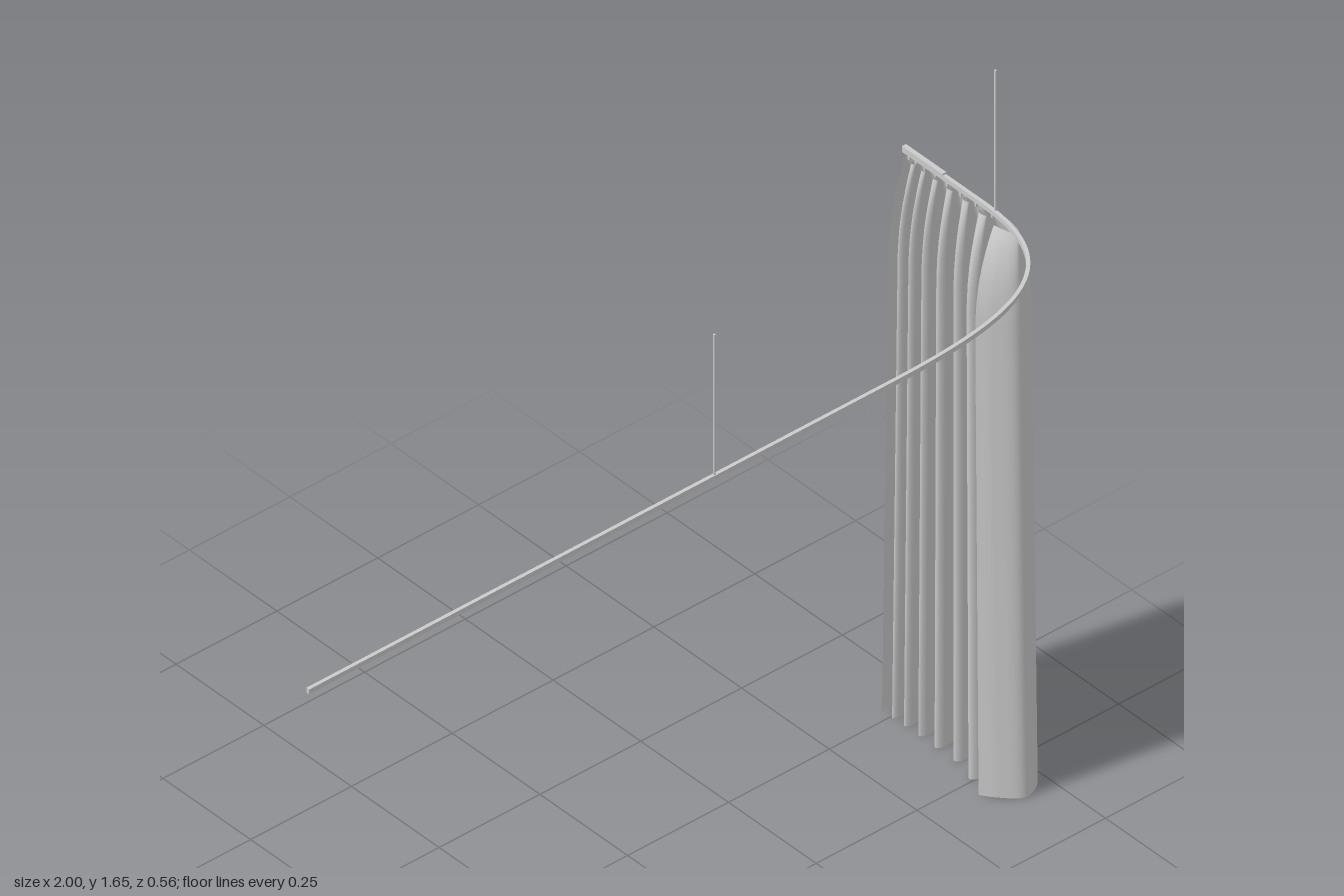
import * as THREE from 'three';

const material = new THREE.MeshStandardMaterial({ color: 0xcccccc });
const cloth = new THREE.MeshStandardMaterial({ color: 0xcccccc, side: THREE.DoubleSide });

const RAIL_X = 0.94, RAIL_Z = 0.275, RAIL_TOP = 1.319;
const v2 = (x, z) => new THREE.Vector2(x, z);

function addMesh(group, name, geometry, x = 0, y = 0, z = 0, mat = material) {
  const mesh = new THREE.Mesh(geometry, mat);
  mesh.name = name;
  mesh.position.set(x, y, z);
  group.add(mesh);
  return mesh;
}

// Plan of the rail: straight run, rounded corner, short return
function railPoints() {
  const corner = new THREE.CubicBezierCurve(v2(0.45, RAIL_Z), v2(0.78, RAIL_Z), v2(RAIL_X, 0.22), v2(RAIL_X, -0.03));
  return [v2(-1, RAIL_Z), ...corner.getPoints(40), v2(RAIL_X, -0.255)];
}

// Flat bar following the plan, extruded downwards
function railGeometry(halfWidth, height) {
  const pts = railPoints();
  const side = (s) => pts.map((p, i) => {
    const a = pts[Math.max(i - 1, 0)], b = pts[Math.min(i + 1, pts.length - 1)];
    const t = b.clone().sub(a).normalize();
    return v2(p.x - t.y * s, p.y + t.x * s);
  });
  const shape = new THREE.Shape([...side(halfWidth), ...side(-halfWidth).reverse()]);
  return new THREE.ExtrudeGeometry(shape, { depth: height, bevelEnabled: false }).rotateX(Math.PI / 2);
}

// Plan of the cloth at the hem: one big open fold, then ever tighter pleats
function foldCurve() {
  const pts = [[0.868, 0.04], [0.89, 0.07], [0.93, 0.103], [0.975, 0.085], [0.998, 0.04], [0.98, 0.008], [0.945, 0.003]];
  const outer = [-0.04, -0.097, -0.148, -0.192, -0.228, -0.262];
  let previous = 0.0;
  outer.forEach((z, i) => {
    const w = (i === 0 ? 0.022 : (outer[i - 1] - z) * 0.34);
    const inner = (previous + z + w) / 2;
    const left = i === 0 ? 0.887 : 0.902;
    pts.push([left + 0.012, inner + w * 0.5], [left, inner], [left + 0.012, inner - w * 0.5]);
    pts.push([0.972, z + w], [0.988, z], [0.972, z - w]);
    previous = z - w;
  });
  pts.push([0.93, -0.279], [0.9, -0.272]);
  return new THREE.CatmullRomCurve3(pts.map(([x, z]) => new THREE.Vector3(x, 0, z)), false, 'centripetal');
}

// Cloth hung from the hem plan, gathered to the rail at its top
function curtainGeometry() {
  const heights = [0, 0.3, 0.6, 0.9, 1.1, 1.15, 1.19, 1.22, 1.25, 1.275, 1.29, 1.302];
  const cols = 260;
  const plan = foldCurve().getSpacedPoints(cols);
  const positions = [], index = [];
  heights.forEach((y, r) => {
    const k = Math.max(0, (y - 1.08) / 0.222);
    const sx = 1 - 0.03 * (y / 1.3) - 0.72 * Math.pow(k, 2.2);
    const sz = 1 - 0.11 * (y / 1.3) - 0.04 * k * k;
    plan.forEach((p, c) => {
      positions.push(RAIL_X + (p.x - RAIL_X) * sx, y, -0.088 + (p.z + 0.088) * sz);
      if (r > 0 && c > 0) {
        const d = r * (cols + 1) + c, b = d - cols - 1;
        index.push(b - 1, d - 1, b, b, d - 1, d);
      }
    });
  });
  const geometry = new THREE.BufferGeometry();
  geometry.setAttribute('position', new THREE.Float32BufferAttribute(positions, 3));
  geometry.setIndex(index);
  geometry.computeVertexNormals();
  return geometry;
}

export function createModel() {
  const group = new THREE.Group();
  group.name = 'curtainOnCornerRail';

  addMesh(group, 'rail', railGeometry(0.004, 0.011), 0, RAIL_TOP, 0);
  addMesh(group, 'curtain', curtainGeometry(), 0, 0, 0, cloth);

  // Ceiling rods
  const rod = new THREE.CylinderGeometry(0.0025, 0.0025, 0.333, 12);
  addMesh(group, 'rodStraightRun', rod, 0.008, 1.482, RAIL_Z);
  addMesh(group, 'rodReturn', rod, RAIL_X, 1.482, 0.005);

  // Gliders joining the cloth to the rail, and the stop at the rail's end
  const glider = new THREE.BoxGeometry(0.005, 0.012, 0.005);
  for (let i = 0; i < 9; i++) {
    const t = i / 8;
    addMesh(group, 'glider', glider, RAIL_X, 1.304, 0.05 - 0.29 * (1.5 * t - 0.5 * t * t));
  }
  addMesh(group, 'railEnd', new THREE.BoxGeometry(0.01, 0.012, 0.115), RAIL_X, 1.317, -0.198);
  return group;
}
